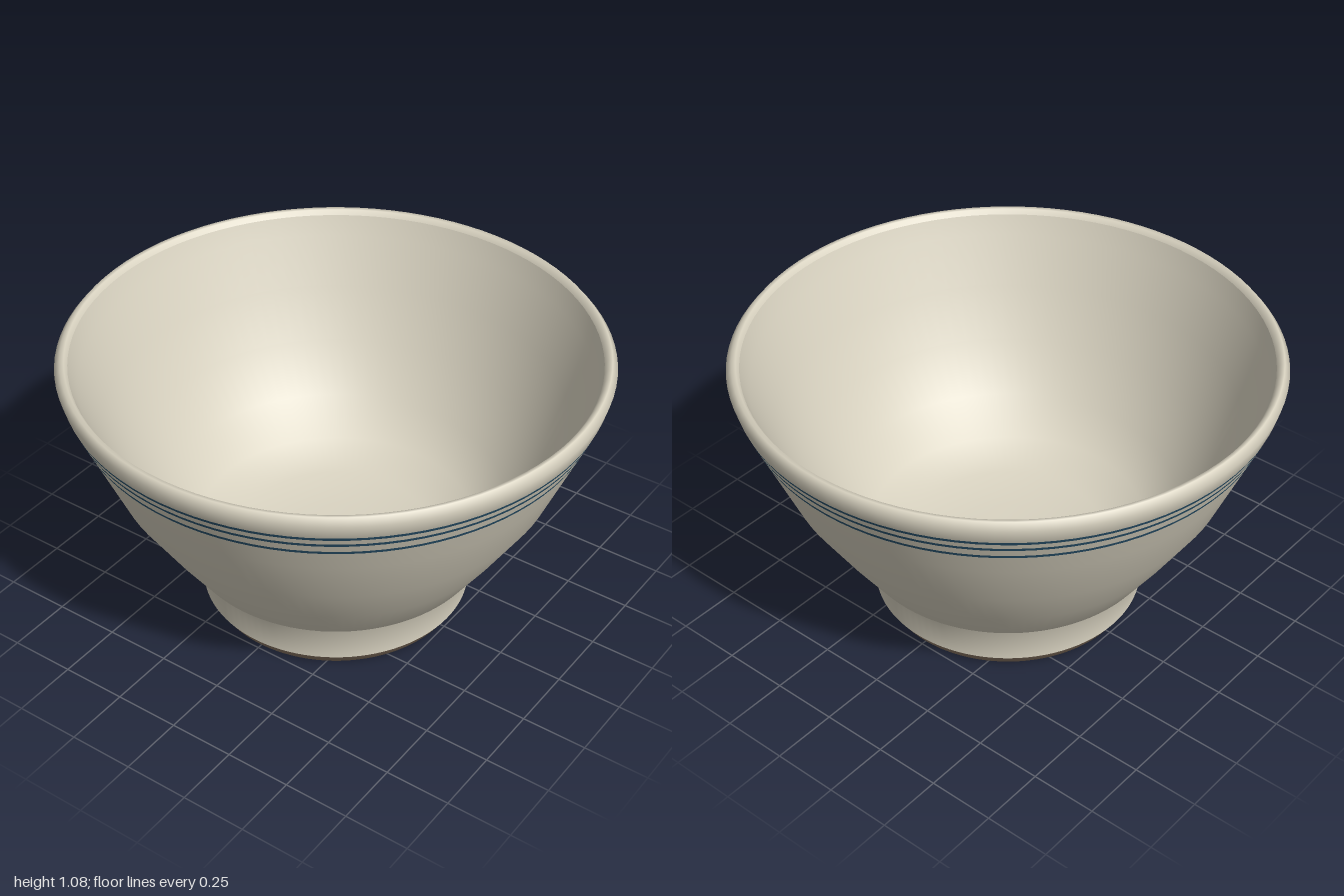
import * as THREE from 'three';

const SEGMENTS = 96;

// Outer wall from foot to just below the lip, as [radius, height]
const WALL = [[0.51, 0.045], [0.51, 0.18], [0.575, 0.23], [0.69, 0.4], [0.815, 0.6], [0.9, 0.8], [0.985, 1.0]];

const glaze = new THREE.MeshStandardMaterial({ color: 0xd8d2c0 });
const bareClay = new THREE.MeshStandardMaterial({ color: 0x8f7b68 });
const blue = new THREE.MeshStandardMaterial({ color: 0x2b5570 });

function lathe(name, points, material) {
  const profile = points.map(([r, y]) => new THREE.Vector2(r, y));
  const mesh = new THREE.Mesh(new THREE.LatheGeometry(profile, SEGMENTS), material);
  mesh.name = name;
  return mesh;
}

// Radius of the outer wall at a given height
function wallRadius(y) {
  const i = WALL.findIndex((p) => p[1] >= y);
  const [[r0, y0], [r1, y1]] = [WALL[i - 1], WALL[i]];
  return r0 + ((r1 - r0) * (y - y0)) / (y1 - y0);
}

export function createModel() {
  const bowl = new THREE.Group();
  bowl.name = 'bowl';

  // Outer wall and rounded lip
  bowl.add(lathe('outerWall', [
    ...WALL, [1.0, 1.055], [0.98, 1.08], [0.965, 1.078], [0.953, 1.06],
  ], glaze));

  // Hollow interior
  bowl.add(lathe('interior', [
    [0.953, 1.06], [0.925, 0.98], [0.85, 0.8], [0.762, 0.6], [0.64, 0.41],
    [0.52, 0.29], [0.36, 0.235], [0.18, 0.215], [0, 0.21],
  ], glaze));

  // Unglazed foot ring
  bowl.add(lathe('footRing', [
    [0.39, 0.03], [0.415, 0], [0.48, 0], [0.51, 0.045],
  ], bareClay));

  // Recessed underside inside the foot ring
  bowl.add(lathe('underside', [
    [0, 0.14], [0.25, 0.135], [0.35, 0.115], [0.39, 0.03],
  ], glaze));

  // Three painted stripes below the lip
  const half = 0.007;
  [0.907, 0.954, 0.992].forEach((y, i) => {
    const lift = 0.002;
    bowl.add(lathe('stripe' + (i + 1), [
      [wallRadius(y - half) + lift, y - half],
      [wallRadius(y + half) + lift, y + half],
    ], blue));
  });

  return bowl;
}
